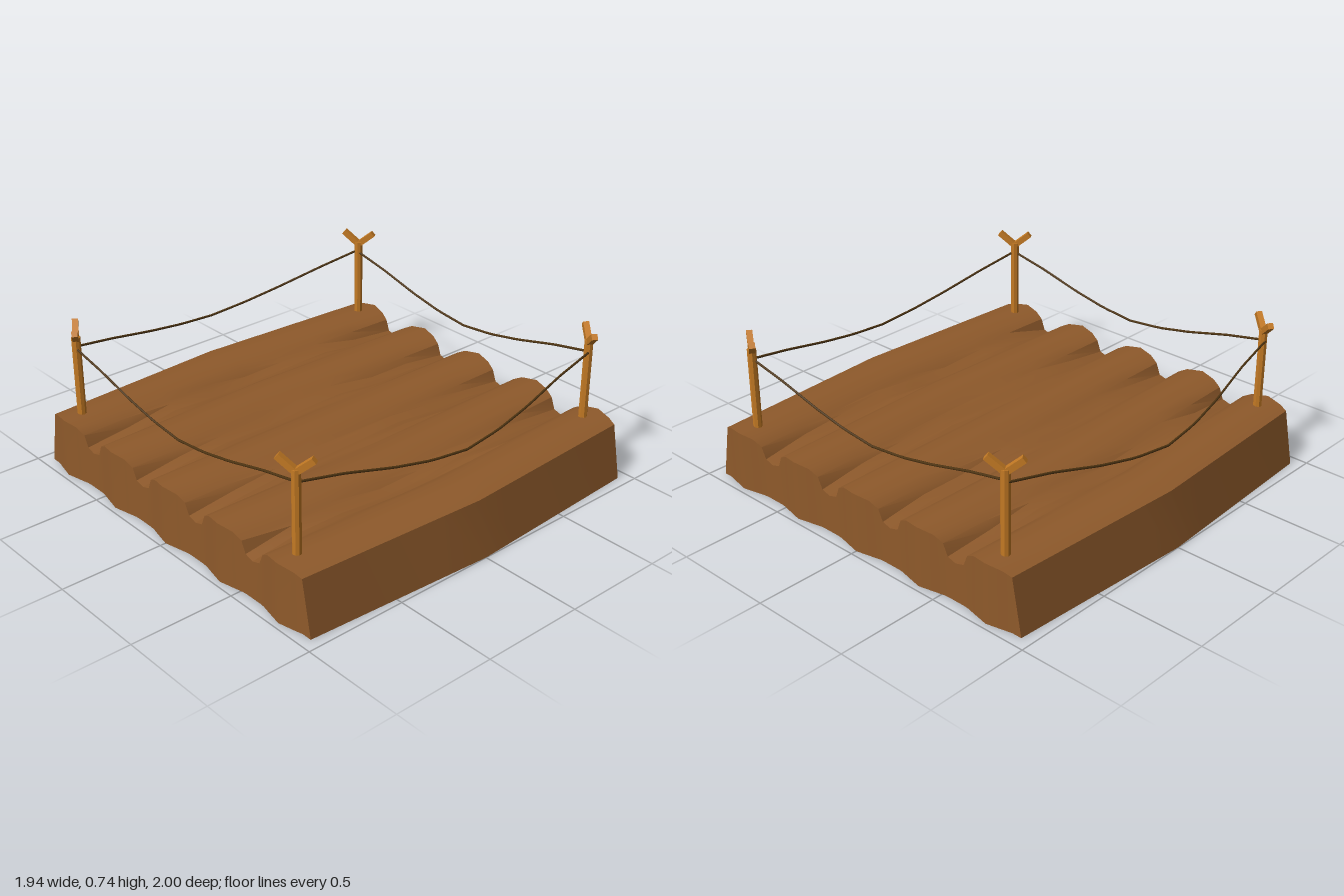
import * as THREE from 'three';
import { toCreasedNormals } from 'three/addons/utils/BufferGeometryUtils.js';

const soilMat = new THREE.MeshStandardMaterial({ color: 0x8f5a2b });
const woodMat = new THREE.MeshStandardMaterial({ color: 0xc47a24 });
const ropeMat = new THREE.MeshStandardMaterial({ color: 0x4f3512 });

const PITCH = 0.387; // distance between ridges
const stations = [-0.94, -0.7, -0.47, -0.22, 0, 0.22, 0.47, 0.7, 0.94];
// How far loose earth fills each furrow, station by station
const furrowFill = [
  [0, 0.02, 0.05, 0.035, 0.03, 0.04, 0.05, 0.02, 0],
  [0, 0.03, 0.045, 0.04, 0.05, 0.055, 0.03, 0.03, 0],
  [0, 0.03, 0.05, 0.055, 0.06, 0.065, 0.04, 0.03, 0],
  [0, 0.04, 0.045, 0.03, 0.04, 0.06, 0.04, 0.03, 0],
];

// Cross-section through all ridges: [z, y, half width of the bed, furrow index or -1]
function profile() {
  const pts = [[-0.945, 0, 0.945, -1], [-0.895, 0.265, 0.945, -1]];
  const cap = [[-0.125, 0.255, 0.945], [-0.08, 0.28, 0.955], [0, 0.29, 0.972], [0.08, 0.28, 0.955], [0.125, 0.255, 0.945]];
  const furrow = [[0.148, 0.2], [0.193, 0.187], [0.238, 0.2]];
  for (let r = 0; r < 5; r++) {
    const c = (r - 2) * PITCH;
    cap.forEach(([d, y, w], i) => {
      if ((r === 0 && i === 0) || (r === 4 && i === 4)) return;
      pts.push([c + d, y, w, -1]);
    });
    if (r < 4) furrow.forEach(([d, y]) => pts.push([c + d, y, 0.943, r]));
  }
  pts.push([0.895, 0.265, 0.945, -1], [0.945, 0, 0.945, -1]);
  return pts;
}

// Soil bed, bowed outward along its middle
function soilGeometry() {
  const pts = profile();
  const pos = [];
  const quad = (a, b, c, d) => pos.push(...a, ...b, ...c, ...a, ...c, ...d);
  const at = (s, p) => {
    const [z, y, w, f] = pts[p];
    const t = stations[s] / 0.94;
    return [t * w, y + (f < 0 ? 0 : furrowFill[f][s]), z * (1 + 0.058 * (1 - Math.abs(t)))];
  };
  const ground = (v) => [v[0], 0, v[2]];
  const last = stations.length - 1;
  for (let p = 0; p < pts.length - 1; p++) {
    for (let s = 0; s < last; s++) {
      const a = at(s, p), b = at(s, p + 1), c = at(s + 1, p + 1), d = at(s + 1, p);
      quad(a, b, c, d);
      // Underside, spanning the same strip but skipping the sloped rims
      const a0 = ground(a), b0 = ground(b), c0 = ground(c), d0 = ground(d);
      quad(a0, d0, c0, b0);
    }
    // Scalloped side walls
    const l0 = at(0, p), l1 = at(0, p + 1);
    quad(ground(l0), ground(l1), l1, l0);
    const r0 = at(last, p), r1 = at(last, p + 1);
    quad(ground(r0), r0, r1, ground(r1));
  }
  const geo = new THREE.BufferGeometry();
  geo.setAttribute('position', new THREE.Float32BufferAttribute(pos, 3));
  return toCreasedNormals(geo, 0.5);
}

// Forked stake; angle turns the fork about its upright
function stake(x, z, angle) {
  const g = new THREE.Group();
  const add = (name, geo) => {
    const m = new THREE.Mesh(geo, woodMat);
    m.name = name;
    g.add(m);
    return m;
  };
  add('stakePole', toCreasedNormals(new THREE.CylinderGeometry(0.021, 0.021, 0.48, 8), 0.5)).position.y = 0.44;
  for (const side of [-1, 1]) {
    const arm = add('forkArm', new THREE.BoxGeometry(0.028, 0.105, 0.028));
    arm.position.set(side * 0.036, 0.697, 0);
    arm.rotation.z = -side * 0.88;
  }
  g.position.set(x, 0, z);
  g.rotation.y = angle;
  return g;
}

// Sagging rope: straight pieces between two posts, bowed sideways in z
const sag = [[-1, 0.625], [-0.74, 0.585], [-0.46, 0.53], [-0.23, 0.495], [0, 0.477],
  [0.23, 0.495], [0.46, 0.53], [0.74, 0.585], [1, 0.625]];
function rope(name, from, to, bow) {
  const path = new THREE.CurvePath();
  const pts = sag.map(([t, y]) => {
    const u = (t + 1) / 2;
    return new THREE.Vector3(
      from[0] + (to[0] - from[0]) * u, y,
      from[1] + (to[1] - from[1]) * u + bow * (y - 0.625) / (0.477 - 0.625));
  });
  for (let i = 0; i < pts.length - 1; i++) path.add(new THREE.LineCurve3(pts[i], pts[i + 1]));
  const m = new THREE.Mesh(new THREE.TubeGeometry(path, 32, 0.0055, 6), ropeMat);
  m.name = name;
  return m;
}

export function createModel() {
  const model = new THREE.Group();
  model.name = 'tilledGardenBed';

  const soil = new THREE.Mesh(soilGeometry(), soilMat);
  soil.name = 'soilBed';
  model.add(soil);

  const L = 0.865, F = 0.77, B = -0.785;
  const stakes = [
    ['backRightStake', -L, B, 0.98], ['backLeftStake', L, B, -0.98],
    ['frontRightStake', -L, F, -0.98], ['frontLeftStake', L, F, 0.98],
  ];
  for (const [name, x, z, angle] of stakes) {
    const s = stake(x, z, angle);
    s.name = name;
    model.add(s);
  }

  model.add(
    rope('frontRope', [-L, F + 0.01], [L, F + 0.01], 0.08),
    rope('backRope', [-L, B - 0.015], [L, B - 0.015], -0.118),
    rope('leftRope', [L - 0.005, B], [L - 0.005, F], 0),
    rope('rightRope', [-L - 0.005, B], [-L - 0.005, F], 0),
  );
  return model;
}
